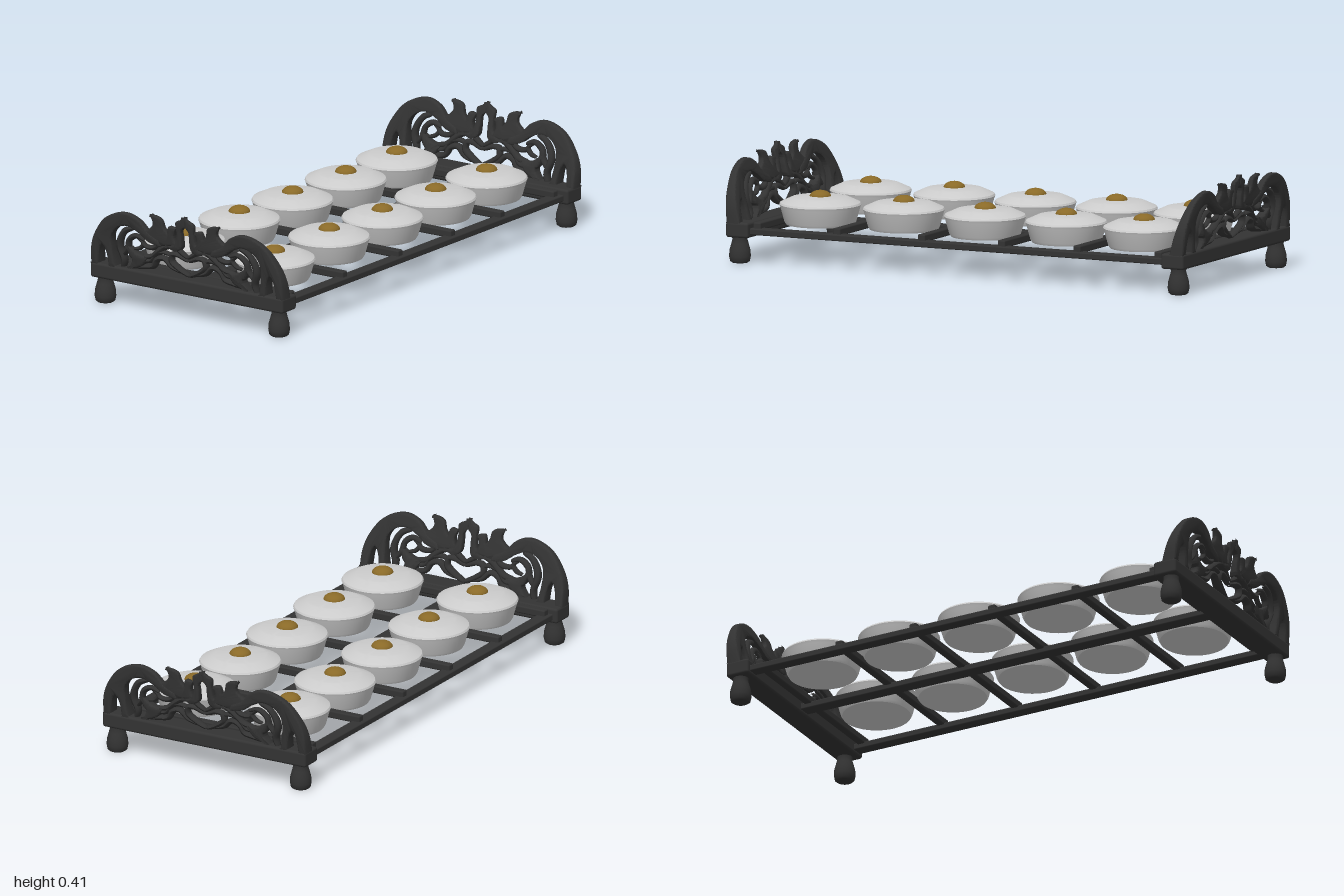
import * as THREE from 'three';
import { toCreasedNormals } from 'three/addons/utils/BufferGeometryUtils.js';
import { RoundedBoxGeometry } from 'three/addons/geometries/RoundedBoxGeometry.js';

const wood = new THREE.MeshStandardMaterial({ color: 0x333333 });
const brass = new THREE.MeshStandardMaterial({ color: 0x8a6a28 });
const metal = new THREE.MeshStandardMaterial({ color: 0xcccccc });

function add(parent, name, geometry, material, x = 0, y = 0, z = 0) {
  const mesh = new THREE.Mesh(geometry, material);
  mesh.name = name;
  mesh.position.set(x, y, z);
  parent.add(mesh);
  return mesh;
}

// Leans a flat carving outward and thins it towards the top
function lean(geometry) {
  const p = geometry.attributes.position;
  for (let i = 0; i < p.count; i++) {
    const h = p.getY(i) - 0.15;
    p.setZ(i, h * 0.165 + p.getZ(i) * (1 - h * 2.6));
  }
  geometry.computeVertexNormals();
  return geometry;
}

// Smooth outline made of spline runs that meet at corners
function carving(runs, s, depth = 0.052) {
  const v = runs.map(run => run.map(([x, y]) => new THREE.Vector2(x * s, y)));
  const shape = new THREE.Shape();
  shape.moveTo(v[0][0].x, v[0][0].y);
  v[0].shift();
  v.forEach(run => shape.splineThru(run));
  const b = 0.009;
  const g = new THREE.ExtrudeGeometry(shape, {
    depth: depth - 2 * b, curveSegments: 20, bevelEnabled: true,
    bevelSize: b, bevelThickness: b, bevelOffset: -b, bevelSegments: 3,
  });
  g.translate(0, 0, -depth / 2 + b);
  return toCreasedNormals(lean(g), 0.7);
}

// Rounded scroll: a tapered tube, deeper than it is wide
function scroll(points, s, r) {
  const curve = new THREE.CatmullRomCurve3(points.map(([x, y]) => new THREE.Vector3(x * s, y, 0)));
  const n = 40, sides = 8;
  const g = new THREE.TubeGeometry(curve, n, r, sides);
  const p = g.attributes.position, c = new THREE.Vector3();
  for (let i = 0; i <= n; i++) {
    const t = i / n, k = 0.45 + 0.55 * Math.pow(Math.sin(Math.PI * t), 0.4);
    curve.getPointAt(t, c);
    for (let j = 0; j <= sides; j++) {
      const q = i * (sides + 1) + j;
      p.setXYZ(q, c.x + (p.getX(q) - c.x) * k, c.y + (p.getY(q) - c.y) * k, p.getZ(q) * k * 1.7);
    }
  }
  return lean(g);
}

const arch = [
  [[0.453, 0.15], [0.45, 0.22], [0.43, 0.28], [0.385, 0.343], [0.33, 0.376], [0.27, 0.386], [0.215, 0.366], [0.175, 0.325], [0.125, 0.3]],
  [[0.12, 0.275], [0.175, 0.285], [0.22, 0.315], [0.27, 0.334], [0.32, 0.32], [0.35, 0.28], [0.35, 0.22], [0.338, 0.15]],
  [[0.37, 0.15]],
  [[0.378, 0.21], [0.396, 0.24], [0.412, 0.21], [0.42, 0.15]],
  [[0.453, 0.15]],
];
const flameLeaf = [
  [[0.2, 0.325], [0.17, 0.34], [0.15, 0.365], [0.162, 0.4]],
  [[0.13, 0.397], [0.108, 0.385], [0.1, 0.355], [0.085, 0.335]],
  [[0.075, 0.365], [0.045, 0.36]],
  [[0.055, 0.33], [0.05, 0.305], [0.04, 0.29]],
  [[0.09, 0.283], [0.14, 0.282], [0.2, 0.325]],
];
const leaf = [
  [[0.19, 0.22], [0.235, 0.225], [0.285, 0.258]],
  [[0.275, 0.215], [0.262, 0.195], [0.285, 0.158]],
  [[0.24, 0.168], [0.21, 0.185], [0.19, 0.22]],
];
const scrolls = [
  [[[0, 0.17], [0.045, 0.192], [0.08, 0.22], [0.075, 0.248], [0.045, 0.25], [0.02, 0.24], [0, 0.232]], 0.012],
  [[[0, 0.245], [0.025, 0.26], [0.06, 0.283], [0.1, 0.277], [0.14, 0.25], [0.17, 0.225], [0.22, 0.215]], 0.013],
  [[[0.035, 0.18], [0.08, 0.196], [0.115, 0.225], [0.15, 0.215], [0.17, 0.185], [0.21, 0.175], [0.27, 0.165]], 0.012],
  [[[0.07, 0.24], [0.11, 0.25], [0.15, 0.24], [0.18, 0.205], [0.22, 0.2]], 0.011],
  [[[0.318, 0.15], [0.308, 0.19], [0.322, 0.24], [0.315, 0.275], [0.29, 0.31], [0.25, 0.328]], 0.014],
  [[[0.315, 0.2], [0.285, 0.24], [0.275, 0.275], [0.24, 0.297], [0.2, 0.285]], 0.012],
  [[[0.24, 0.297], [0.21, 0.272], [0.225, 0.25], [0.255, 0.24]], 0.009],
  [[[0.13, 0.285], [0.16, 0.262], [0.2, 0.262], [0.215, 0.28]], 0.011],
  [[[0.275, 0.155], [0.25, 0.18], [0.22, 0.2]], 0.013],
];

function createEnd() {
  const end = new THREE.Group();
  add(end, 'endBeam', new RoundedBoxGeometry(0.908, 0.06, 0.096, 3, 0.01), wood, 0, 0.13, 0.938);
  const panel = new THREE.Group();
  panel.name = 'carvedPanel';
  panel.position.z = 0.953;
  end.add(panel);
  for (const s of [-1, 1]) {
    add(panel, 'arch', carving(arch, s, 0.06), wood);
    add(panel, 'flameLeaf', carving(flameLeaf, s), wood);
    add(panel, 'ribbonLeaf', carving(leaf, s, 0.046), wood);
    // Half of the pointed centre arch
    add(panel, 'centreArch', carving([
      [[0, 0.415], [0.02, 0.4], [0.042, 0.386], [0.04, 0.345], [0.052, 0.3], [0.1, 0.284]],
      [[0.06, 0.267], [0.025, 0.28], [0.018, 0.32], [0.017, 0.355], [0, 0.374]],
      [[0, 0.415]],
    ], s), wood);
    for (const [points, r] of scrolls) add(panel, 'scroll', scroll(points, s, r), wood);
    // Turned foot
    const profile = [[0, 0], [0.03, 0], [0.038, 0.006], [0.042, 0.025], [0.04, 0.05], [0.033, 0.075], [0.029, 0.09], [0.031, 0.105]]
      .map(([x, y]) => new THREE.Vector2(x, y));
    add(end, 'foot', new THREE.LatheGeometry(profile, 24), wood, 0.41 * s, 0, 0.945);
  }
  return end;
}

function createGong() {
  const gong = new THREE.Group();
  gong.name = 'gong';
  const profile = [[0, 0.14], [0.132, 0.14], [0.138, 0.15], [0.154, 0.207], [0.158, 0.217], [0.154, 0.224], [0.11, 0.244], [0.1, 0.246], [0, 0.25]]
    .map(([x, y]) => new THREE.Vector2(x, y));
  add(gong, 'kettle', toCreasedNormals(new THREE.LatheGeometry(profile, 48), 0.5), metal);
  const boss = new THREE.SphereGeometry(0.042, 24, 8, 0, Math.PI * 2, 0, Math.PI / 2);
  boss.scale(1, 0.6, 1);
  add(gong, 'boss', boss, brass, 0, 0.246, 0);
  return gong;
}

export function createModel() {
  const model = new THREE.Group();
  model.name = 'gongRack';

  // Carved ends
  const front = createEnd(), back = createEnd();
  front.name = 'frontEnd';
  back.name = 'backEnd';
  back.rotation.y = Math.PI;
  model.add(front, back);

  // Long rails
  for (const [x, w] of [[-0.41, 0.05], [-0.005, 0.058], [0.41, 0.05]]) {
    add(model, 'longRail', new RoundedBoxGeometry(w, 0.025, 1.8, 2, 0.005), wood, x, 0.125, 0);
  }
  // Cross bars
  for (const z of [-0.86, -0.51, -0.185, 0.16, 0.525, 0.868]) {
    add(model, 'crossBar', new RoundedBoxGeometry(0.84, 0.03, 0.032, 2, 0.006), wood, 0, 0.145, z);
  }
  // Two rows of gongs
  [-0.695, -0.36, -0.01, 0.34, 0.7].forEach((z, i) => {
    for (const x of [-0.212, 0.212]) {
      const gong = createGong();
      gong.position.set(x, i === 3 ? 0.004 : 0, z);
      model.add(gong);
    }
  });
  return model;
}
